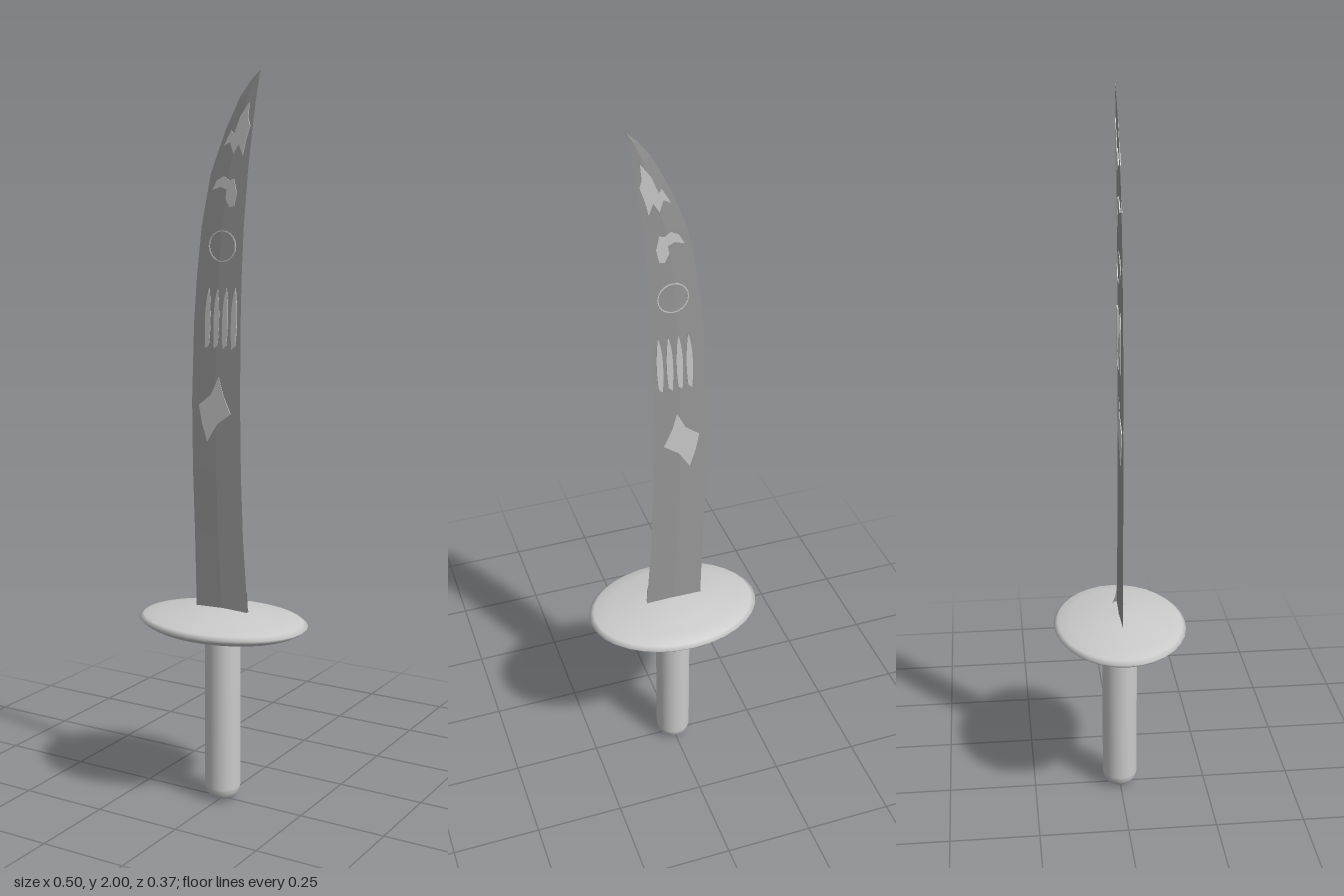
import * as THREE from 'three';

const steel = new THREE.MeshStandardMaterial({ color: 0xcccccc });
const darkSteel = new THREE.MeshStandardMaterial({ color: 0x999999 });
const v2 = (pairs) => pairs.map(([x, y]) => new THREE.Vector2(x, y));

function addMesh(group, name, geometry, material) {
  const mesh = new THREE.Mesh(geometry, material);
  mesh.name = name;
  group.add(mesh);
  return mesh;
}

// Joins closed rings of equal size (counter-clockwise seen from below) into a skin
function loft(rings, flat) {
  const n = rings[0].length;
  const index = [];
  for (let j = 0; j < rings.length - 1; j++) {
    for (let i = 0; i < n; i++) {
      const a = j * n + i, b = j * n + (i + 1) % n;
      index.push(a, a + n, b, b, a + n, b + n);
    }
  }
  let geometry = new THREE.BufferGeometry();
  geometry.setAttribute('position', new THREE.Float32BufferAttribute(rings.flat(2), 3));
  geometry.setIndex(index);
  if (flat) geometry = geometry.toNonIndexed();
  geometry.computeVertexNormals();
  return geometry;
}

// Blade: [y, back edge x, cutting edge x] at each station
function bladeGeometry() {
  const stations = [
    [0.54, -0.085, 0.08], [0.76, -0.09, 0.064], [0.94, -0.096, 0.057], [1.13, -0.098, 0.054],
    [1.34, -0.091, 0.055], [1.47, -0.081, 0.058], [1.6, -0.066, 0.064], [1.74, -0.037, 0.076],
    [1.85, 0.008, 0.089], [1.935, 0.053, 0.101], [1.975, 0.085, 0.108], [2.0, 0.113, 0.1135],
  ];
  const rings = stations.map(([y, l, r], i) => {
    const t = 0.003 * Math.min(1, (stations.length - i) / 4);
    const m = (l + r) / 2;
    return [[l, y, 0], [m, y, -t], [r, y, 0], [m, y, t]];
  });
  return loft(rings, true);
}

// Collar: an oval foot sweeping up into the blade, [y, half width, half depth]
function collarGeometry() {
  const steps = [[0.54, 0.083, 0.033], [0.552, 0.083, 0.03], [0.56, 0.082, 0.02],
    [0.575, 0.081, 0.011], [0.592, 0.08, 0.006], [0.61, 0.079, 0.003]];
  const sides = 24;
  const rings = steps.map(([y, rx, rz]) => Array.from({ length: sides }, (_, i) => {
    const a = -i / sides * Math.PI * 2;
    return [-0.002 + rx * Math.cos(a), y, rz * Math.sin(a)];
  }));
  return loft(rings, false);
}

// Inlays run through the blade so they show on both faces
function inlay(group, name, shape) {
  const depth = 0.0074;
  const geometry = new THREE.ExtrudeGeometry(shape, { depth, bevelEnabled: false, curveSegments: 10 });
  geometry.translate(0, 0, -depth / 2);
  return addMesh(group, name, geometry, steel);
}

export function createModel() {
  const model = new THREE.Group();
  model.name = 'sword';

  // Grip with a rounded pommel end
  const grip = v2([[0, 0], [0.02, 0.003], [0.037, 0.01], [0.046, 0.022], [0.05, 0.04], [0.05, 0.5]]);
  addMesh(model, 'grip', new THREE.LatheGeometry(grip, 24), steel);

  // Oval dished guard
  const guard = v2([[0, 0.48], [0.1, 0.482], [0.17, 0.489], [0.215, 0.5], [0.238, 0.511], [0.249, 0.521],
    [0.235, 0.53], [0.19, 0.538], [0.13, 0.546], [0.08, 0.552], [0, 0.556]]);
  const guardGeometry = new THREE.LatheGeometry(guard, 32);
  guardGeometry.scale(1, 1, 0.752);
  addMesh(model, 'guard', guardGeometry, steel);

  addMesh(model, 'collar', collarGeometry(), darkSteel);
  addMesh(model, 'blade', bladeGeometry(), darkSteel);

  const inlays = new THREE.Group();
  inlays.name = 'bladeInlays';
  model.add(inlays);

  // Slightly concave diamond
  inlay(inlays, 'diamondInlay', new THREE.Shape(v2([
    [-0.011, 1.2], [-0.036, 1.15], [-0.074, 1.12], [-0.064, 1.07],
    [-0.048, 1.02], [-0.016, 1.07], [0.026, 1.1], [0.003, 1.15]])));

  // Four claw marks
  for (let i = 0; i < 4; i++) {
    const x = -0.046 + i * 0.027;
    const claw = new THREE.Shape();
    claw.moveTo(x + 0.006, 1.44);
    claw.quadraticCurveTo(x - 0.013, 1.39, x - 0.007, 1.275);
    claw.lineTo(x + 0.004, 1.285);
    claw.quadraticCurveTo(x + 0.014, 1.36, x + 0.006, 1.44);
    inlay(inlays, 'clawInlay', claw);
  }

  // Fine ring
  const ring = new THREE.Shape().absarc(0, 1.55, 0.042, 0, Math.PI * 2);
  ring.holes.push(new THREE.Path().absarc(0, 1.55, 0.039, 0, Math.PI * 2, true));
  inlay(inlays, 'ringInlay', ring);

  // Hooked drop
  inlay(inlays, 'dropInlay', new THREE.Shape(v2([
    [-0.03, 1.697], [-0.016, 1.722], [0.006, 1.733], [0.022, 1.722], [0.036, 1.726],
    [0.044, 1.69], [0.036, 1.655], [0.022, 1.652], [0.01, 1.675], [0.014, 1.697], [-0.005, 1.705]])));

  // Flame near the tip
  inlay(inlays, 'flameInlay', new THREE.Shape(v2([
    [0.005, 1.81], [0.028, 1.85], [0.036, 1.84], [0.055, 1.885], [0.082, 1.92], [0.078, 1.88],
    [0.084, 1.86], [0.07, 1.82], [0.062, 1.785], [0.05, 1.815], [0.034, 1.79], [0.024, 1.82]])));

  return model;
}
